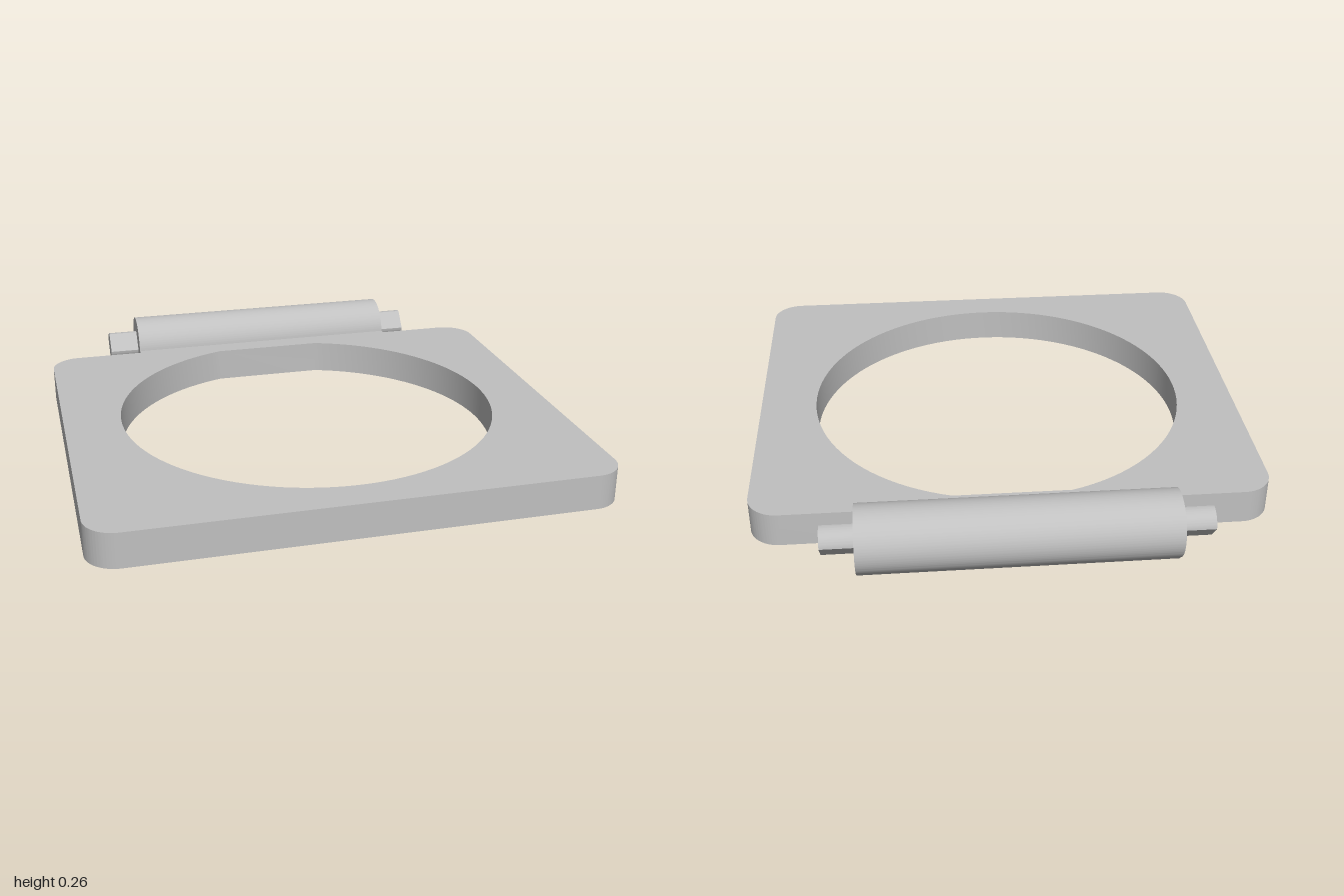
import * as THREE from 'three';
import { toCreasedNormals } from 'three/addons/utils/BufferGeometryUtils.js';

const THICK = 0.138, BACK = 0.72, AXIS = 0.87, R = 0.128;

function extrude(shape, depth, curveSegments) {
  return new THREE.ExtrudeGeometry(shape, { depth, curveSegments, bevelEnabled: false });
}

// Extrudes a side profile, drawn in (-z, y), along x between x0 and x1
function extrudeX(shape, x0, x1, segments) {
  return toCreasedNormals(extrude(shape, x1 - x0, segments).rotateY(Math.PI / 2).translate(x0, 0, 0), 0.5);
}

export function createModel() {
  const group = new THREE.Group();
  const grey = new THREE.MeshStandardMaterial({ color: 0xc0c0c0 });
  grey.name = 'grey';
  const add = (name, geometry) => {
    const mesh = new THREE.Mesh(geometry, grey);
    mesh.name = name;
    group.add(mesh);
  };

  // Rounded plate, drawn in (x, -z)
  const r = 0.12;
  const plate = new THREE.Shape();
  plate.absarc(1 - r, -1 + r, r, -Math.PI / 2, 0);
  plate.absarc(1 - r, BACK - r, r, 0, Math.PI / 2);
  plate.absarc(-1 + r, BACK - r, r, Math.PI / 2, Math.PI);
  plate.absarc(-1 + r, -1 + r, r, Math.PI, Math.PI * 1.5);
  plate.closePath();

  // Round opening with a flat at the back
  const holeR = 0.77, flat = Math.asin(0.735 / holeR);
  const hole = new THREE.Path();
  hole.absarc(0, -0.085, holeR, Math.PI - flat, flat + Math.PI * 2);
  hole.closePath();
  plate.holes.push(hole);
  add('plate', toCreasedNormals(extrude(plate, THICK, 48).rotateX(-Math.PI / 2), 0.4));

  // Hinge barrel with its tongue to the plate and 45 degree underside
  const barrel = new THREE.Shape();
  barrel.moveTo(BACK, 0);
  barrel.lineTo(AXIS + R * (Math.SQRT2 - 1), 0);
  barrel.absarc(AXIS, R, R, -Math.PI / 4, Math.PI - Math.asin((THICK - R) / R));
  barrel.lineTo(BACK, THICK);
  barrel.closePath();
  add('hingeBarrel', extrudeX(barrel, -0.593, 0.593, 48));

  // Hinge pins: round bars with two slanted flats
  const pin = new THREE.Shape();
  const a = THREE.MathUtils.degToRad(5), b = THREE.MathUtils.degToRad(95);
  pin.absarc(AXIS, R, 0.063, a, b);
  pin.absarc(AXIS, R, 0.063, a + Math.PI, b + Math.PI);
  pin.closePath();
  add('leftPin', extrudeX(pin, 0.59, 0.72, 10));
  add('rightPin', extrudeX(pin, -0.72, -0.59, 10));

  return group;
}
